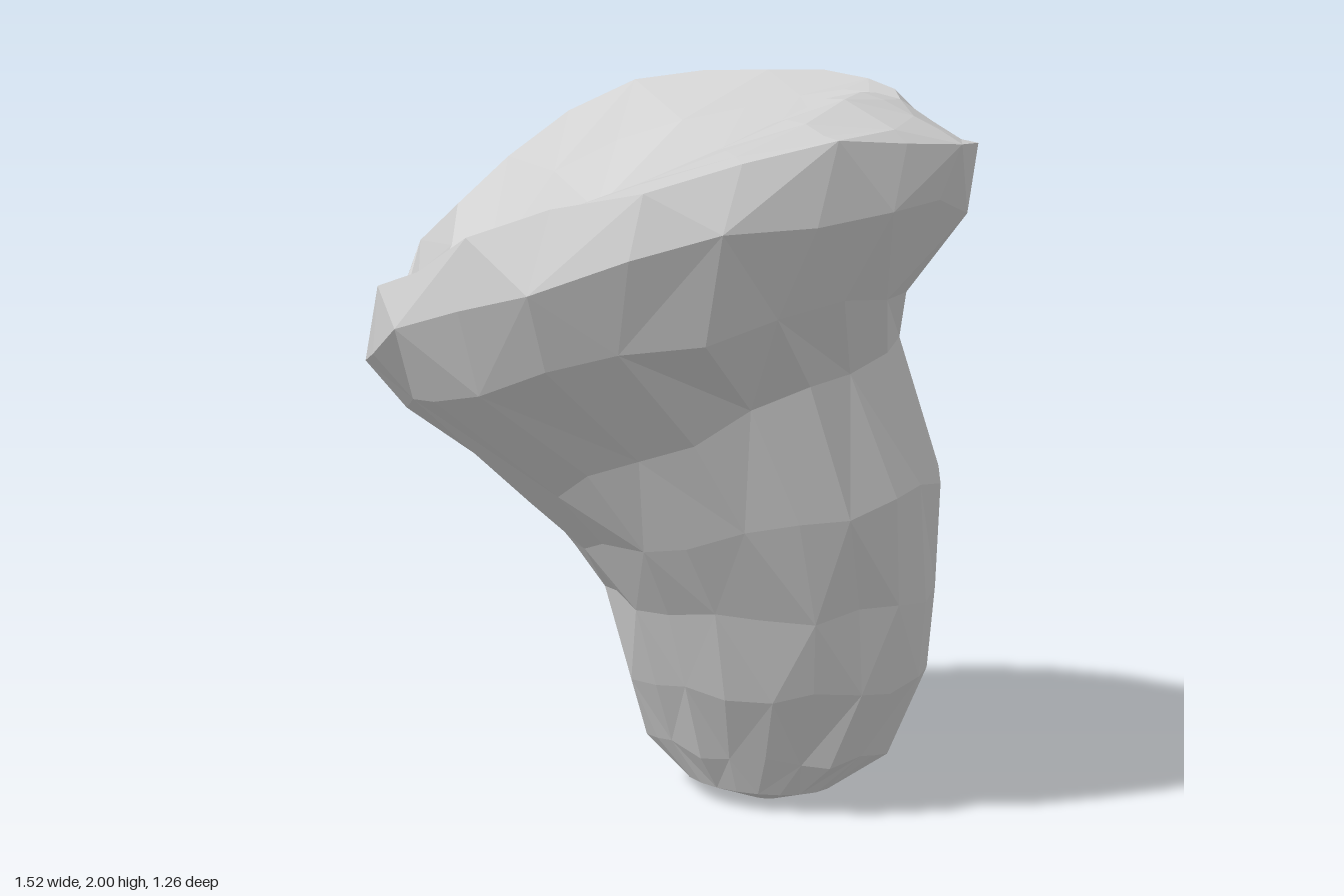
import * as THREE from 'three';

const SEG = 22;
const lerp = THREE.MathUtils.lerp;

// Outer rings, bottom to top:
// left x, right x, back z, front z, centre y, slope of y along x, shear of z along x, rise of y to the front
const OUTER = [
  [0.15, 0.25, -0.32, -0.26, 0.0, 0, 0, 0],
  [-0.03, 0.4, -0.41, -0.15, 0.06, 0, 0, 0],
  [-0.14, 0.54, -0.47, -0.09, 0.18, 0, 0, 0],
  [-0.2, 0.65, -0.59, 0.02, 0.4, 0.05, 0, 0],
  [-0.24, 0.67, -0.63, 0.1, 0.64, 0.05, 0, 0],
  [-0.3, 0.67, -0.57, 0.21, 0.87, 0.22, 0, 0],
  [-0.4, 0.575, -0.52, 0.31, 1.11, 0.46, 0, 0],
  [-0.67, 0.6, -0.58, 0.55, 1.31, 0.26, -0.03, 0.03],
  [-0.76, 0.73, -0.58, 0.625, 1.46, 0.28, -0.04, 0.09],
  [-0.74, 0.76, -0.56, 0.575, 1.6, 0.28, -0.04, 0.11],
];

// Top rings: shift towards the groove, share of the dome's height at the back
const TOP = [[0.12, 0.33], [0.3, 0.7], [0.5, 1], [0.65, 0.62], [0.82, 0.2], [1, 0]];
const CREST = 0.5;

// Height of the dome crest and of the front lip along x
const crestY = (x) => 2 - 0.95 * Math.min(0, x) ** 2 - 0.8 * Math.max(0, x - 0.3) ** 2;
const lipY = (x) => Math.min(1.71 + 0.5 * x, 1.94);

function outerPoint([x0, x1, z0, z1, y, slope, shear, rise], a) {
  const dx = (x1 - x0) / 2 * Math.cos(a);
  return new THREE.Vector3(
    (x0 + x1) / 2 + dx,
    y + slope * dx + rise * Math.sin(a),
    (z0 + z1) / 2 + (z1 - z0) / 2 * Math.sin(a) + shear * dx);
}

function topPoint([t, h], a) {
  const rim = outerPoint(OUTER[OUTER.length - 1], a);
  const x = lerp(rim.x, -0.13 + 0.53 * Math.cos(a), t);
  const z = lerp(rim.z, 0.13, t);
  const grooveY = lipY(x) - 0.04;
  const front = t === 1 ? grooveY : lerp(rim.y, lipY(x), Math.min(1, t / 0.6));
  const base = t > CREST ? grooveY : rim.y;
  const back = lerp(base, Math.max(crestY(x), base), h);
  const w = THREE.MathUtils.smoothstep(-Math.sin(a), -0.15, 0.25);
  return new THREE.Vector3(x, lerp(front, back, w), z);
}

function createBody() {
  const rings = [...OUTER.map((r) => (a) => outerPoint(r, a)), ...TOP.map((r) => (a) => topPoint(r, a))];
  const pos = [], index = [];
  rings.forEach((ring, i) => {
    for (let j = 0; j < SEG; j++) {
      const p = ring(j / SEG * Math.PI * 2);
      // Small uneven facets on the stem and rim
      if (i > 1 && i < OUTER.length) {
        p.x += 0.008 * Math.sin(j * 2.7 + i * 4.1);
        p.y += 0.015 * Math.sin(j * 1.9 + i * 2.3);
        p.z += 0.008 * Math.cos(j * 3.1 + i * 1.7);
      }
      pos.push(p.x, p.y, p.z);
    }
  });
  for (let i = 0; i < rings.length - 1; i++) {
    for (let j = 0; j < SEG; j++) {
      const k = (j + 1) % SEG;
      const a = i * SEG + j, b = i * SEG + k, c = a + SEG, d = b + SEG;
      // Alternate the diagonals for an irregular, hewn look
      if ((i + j) % 2) index.push(a, c, b, b, c, d);
      else index.push(a, c, d, a, d, b);
    }
  }
  // Close the bottom
  for (let j = 1; j < SEG - 1; j++) index.push(0, j, j + 1);
  const geo = new THREE.BufferGeometry();
  geo.setAttribute('position', new THREE.Float32BufferAttribute(pos, 3));
  geo.setIndex(index);
  geo.computeVertexNormals();
  return geo;
}

export function createModel() {
  const group = new THREE.Group();
  group.name = 'mushroomShapedRock';
  const body = new THREE.Mesh(createBody(), new THREE.MeshStandardMaterial({ color: 0xcccccc, flatShading: true }));
  body.name = 'stemAndCap';
  group.add(body);
  return group;
}
